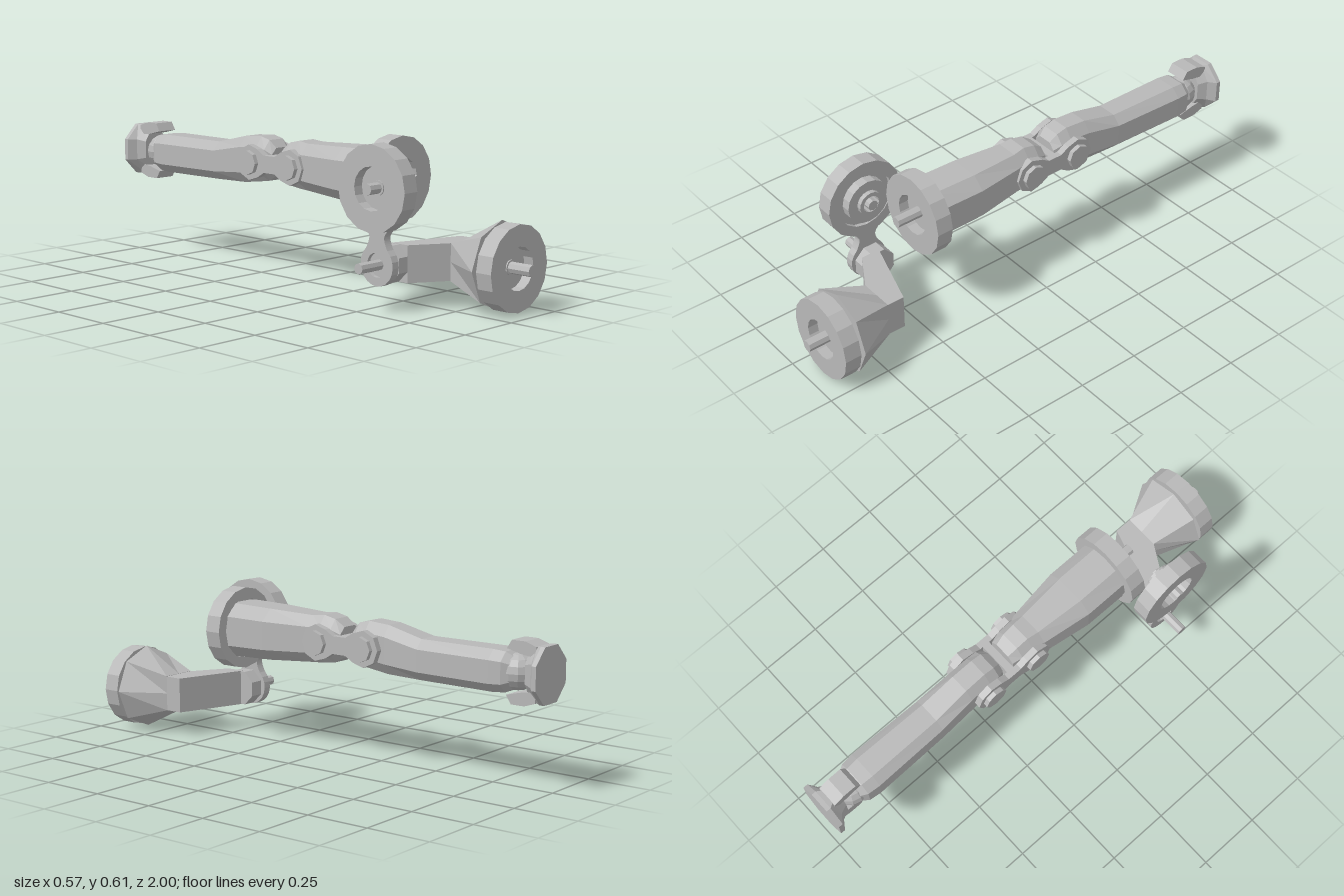
import * as THREE from 'three';

const metal = new THREE.MeshStandardMaterial({ color: 0xb8b8b8 });
metal.name = 'plain grey metal';

// Faceted look: one normal per face
function flat(geo) {
  const g = geo.index ? geo.toNonIndexed() : geo;
  g.computeVertexNormals();
  return g;
}

// Closed skin over 8-point rings listed from +z to -z
function loft(rings) {
  const pos = [];
  const tri = (...p) => p.forEach((v) => pos.push(...v));
  const mid = (r) => [0, 1, 2].map((k) => r.reduce((s, p) => s + p[k], 0) / r.length);
  const n = rings[0].length;
  const last = rings[rings.length - 1];
  for (let j = 0; j < n; j++) {
    const k = (j + 1) % n;
    for (let i = 0; i + 1 < rings.length; i++) {
      const [a, b, c, d] = [rings[i][j], rings[i][k], rings[i + 1][j], rings[i + 1][k]];
      tri(a, c, b);
      tri(b, c, d);
    }
    tri(mid(rings[0]), rings[0][j], rings[0][k]);
    tri(mid(last), last[k], last[j]);
  }
  const g = new THREE.BufferGeometry();
  g.setAttribute('position', new THREE.Float32BufferAttribute(pos, 3));
  return flat(g);
}

// Square ring with cut corners; c is the half length of each flat
function chamfered([z, y, rx, ry], x = 0.03, c = 0.55) {
  return [[1, -c], [1, c], [c, 1], [-c, 1], [-1, c], [-1, -c], [-c, -1], [c, -1]]
    .map(([u, v]) => [x + u * rx, y + v * ry, z]);
}

// Straight bar between two coordinates along x or z
function bar(axis, r, from, to, sides = 8) {
  const g = new THREE.CylinderGeometry(r, r, to - from, sides);
  if (axis === 'x') g.rotateZ(Math.PI / 2); else g.rotateX(Math.PI / 2);
  const m = (from + to) / 2;
  g.translate(axis === 'x' ? m : 0, 0, axis === 'z' ? m : 0);
  return flat(g);
}

const lathe = (pts, sides = 16) =>
  flat(new THREE.LatheGeometry(pts.map(([r, h]) => new THREE.Vector2(r, h)), sides));

// Flat outline in the (-z, y) plane, given thickness along x
function plateX(shape, thick) {
  const g = new THREE.ExtrudeGeometry(shape, { depth: thick, bevelEnabled: false, curveSegments: 8 });
  g.rotateY(Math.PI / 2);
  return flat(g);
}

export function createModel() {
  const root = new THREE.Group();
  const add = (name, geo, x = 0, y = 0, z = 0) => {
    const m = new THREE.Mesh(geo, metal);
    m.name = name;
    m.position.set(x, y, z);
    root.add(m);
    return m;
  };

  // Three equal wheels, recessed on both sides
  const wheel = lathe([[0, 0.015], [0.118, 0.015], [0.118, 0], [0.16, 0], [0.16, 0.066],
    [0.08, 0.066], [0.08, 0.026], [0.028, 0.026], [0.028, 0.031], [0, 0.031]]);
  add('baseWheel', wheel, 0.115, 0.167, 0.876).rotation.x = Math.PI / 2;
  add('shoulderWheel', wheel, 0.03, 0.446, 0.398).rotation.x = Math.PI / 2;
  add('sideWheel', wheel, -0.157, 0.445, 0.54).rotation.z = Math.PI / 2;

  // Axles
  add('baseAxle', bar('z', 0.022, 0.8, 1), 0.115, 0.167);
  add('shoulderAxle', bar('z', 0.021, 0.41, 0.535), 0.03, 0.446);
  add('sideAxle', bar('x', 0.021, -0.243, -0.105), 0, 0.445, 0.54);
  add('linkAxle', bar('x', 0.02, -0.285, -0.1), 0, 0.167, 0.54);

  // Stepped collar on the inner face of the side wheel
  const collar = lathe([[0.034, 0], [0.09, 0], [0.09, 0.037], [0.05, 0.037], [0.05, 0.055],
    [0.034, 0.055], [0.034, 0]]);
  add('sideCollar', collar, -0.172, 0.445, 0.54).rotation.z = -Math.PI / 2;

  // Base bracket: octagonal flare narrowing to a square
  const flareFront = [], flareBack = [];
  for (let i = 0; i < 8; i++) {
    const a = (i * Math.PI) / 4, c = Math.cos(a), s = Math.sin(a);
    const k = 0.07 / Math.max(Math.abs(c), Math.abs(s));
    flareFront.push([0.115 + 0.166 * c, 0.167 + 0.166 * s, 0.862]);
    flareBack.push([0.11 + k * c, 0.167 + k * s, 0.69]);
  }
  add('baseFlare', loft([flareFront, flareBack]));

  // Bent elbow, drawn from above
  const elbow = new THREE.Shape([[0.18, -0.69], [0.18, -0.62], [-0.1, -0.53], [-0.1, -0.607], [0.04, -0.69]]
    .map(([x, z]) => new THREE.Vector2(x, z)));
  const elbowGeo = new THREE.ExtrudeGeometry(elbow, { depth: 0.138, bevelEnabled: false });
  elbowGeo.rotateX(-Math.PI / 2);
  add('baseElbow', flat(elbowGeo), 0, 0.098, 0);
  const knuckle = bar('x', 0.073, -0.145, -0.09);
  knuckle.rotateX(Math.PI / 8);
  add('baseKnuckle', knuckle, 0, 0.167, 0.54);

  // Bottle-shaped link hanging from the side wheel
  const link = new THREE.Shape();
  const e = 0.85;
  link.moveTo(0.077 * Math.cos(e), 0.077 * Math.sin(e));
  link.quadraticCurveTo(0.033, 0.09, 0.036, 0.105);
  link.quadraticCurveTo(0.045, 0.13, 0.085, 0.15);
  link.lineTo(-0.085, 0.15);
  link.quadraticCurveTo(-0.045, 0.13, -0.036, 0.105);
  link.quadraticCurveTo(-0.033, 0.09, -0.077 * Math.cos(e), 0.077 * Math.sin(e));
  link.absarc(0, 0, 0.077, Math.PI - e, 2 * Math.PI + e, false);
  link.holes.push(new THREE.Path().absarc(0, 0, 0.045, 0, Math.PI * 2, true));
  add('sideLink', plateX(link, 0.033), -0.19, 0.167, 0.54);
  add('sideLinkHub', bar('x', 0.046, -0.175, -0.16, 16), 0, 0.167, 0.54);

  // Upper arm and forearm: rows are z, centre y, half width, half height
  add('upperArm', loft([
    [0.415, 0.446, 0.108, 0.105], [0.22, 0.447, 0.108, 0.1], [0.02, 0.45, 0.08, 0.09],
    [-0.03, 0.454, 0.07, 0.092], [-0.08, 0.452, 0.068, 0.083], [-0.12, 0.45, 0.058, 0.058],
  ].map((r) => chamfered(r))));
  add('forearm', loft([
    [-0.165, 0.45, 0.052, 0.055], [-0.195, 0.454, 0.066, 0.08], [-0.24, 0.456, 0.066, 0.089],
    [-0.33, 0.447, 0.068, 0.092], [-0.48, 0.428, 0.074, 0.076], [-0.79, 0.427, 0.08, 0.077],
    [-0.84, 0.427, 0.075, 0.073], [-0.88, 0.427, 0.05, 0.05],
  ].map((r) => chamfered(r))));

  // Elbow joint: two dogbone plates with hex bolts and a cross bar
  const half = 0.108, r = 0.07, dog = [];
  for (const side of [1, -1]) {
    for (let i = -3; i <= 3; i++) {
      const a = ((i * 2) * Math.PI) / 8 * 0.95;
      dog.push(new THREE.Vector2(side * (half + r * Math.cos(a)), side * r * Math.sin(a)));
    }
    dog.push(new THREE.Vector2(side * 0.03, side * 0.034));
    dog.push(new THREE.Vector2(-side * 0.03, side * 0.034));
  }
  const plate = plateX(new THREE.Shape(dog), 0.026);
  for (const side of [1, -1]) {
    add('jointPlate', plate, 0.03 + side * 0.08 - 0.013, 0.447, -0.14);
    for (const z of [-0.032, -0.248]) {
      add('jointBolt', bar('x', 0.048, -0.012, 0.012), 0.03 + side * 0.099, 0.447, z);
    }
  }
  add('jointCrossBar', flat(new THREE.BoxGeometry(0.15, 0.068, 0.03)), 0.03, 0.447, -0.142);

  // Wrist: ball, octagonal end cap and two gripping prongs
  add('wristBall', flat(new THREE.SphereGeometry(0.068, 12, 8)), 0.03, 0.427, -0.868);
  add('wristCap', loft([
    [-0.925, 0.43, 0.05, 0.082], [-0.96, 0.43, 0.068, 0.1], [-0.982, 0.43, 0.1, 0.103], [-1, 0.43, 0.1, 0.103],
  ].map((row) => chamfered(row, 0.03, 0.42))));
  for (const s of [1, -1]) {
    const prong = new THREE.Shape([[0.845, 0.083], [0.865, 0.115], [0.92, 0.115], [0.965, 0.1], [0.965, 0.06], [0.905, 0.068]]
      .map(([u, v]) => new THREE.Vector2(u, v * s)));
    add('wristProng', plateX(prong, 0.086), -0.013, 0.43, 0);
  }
  return root;
}
